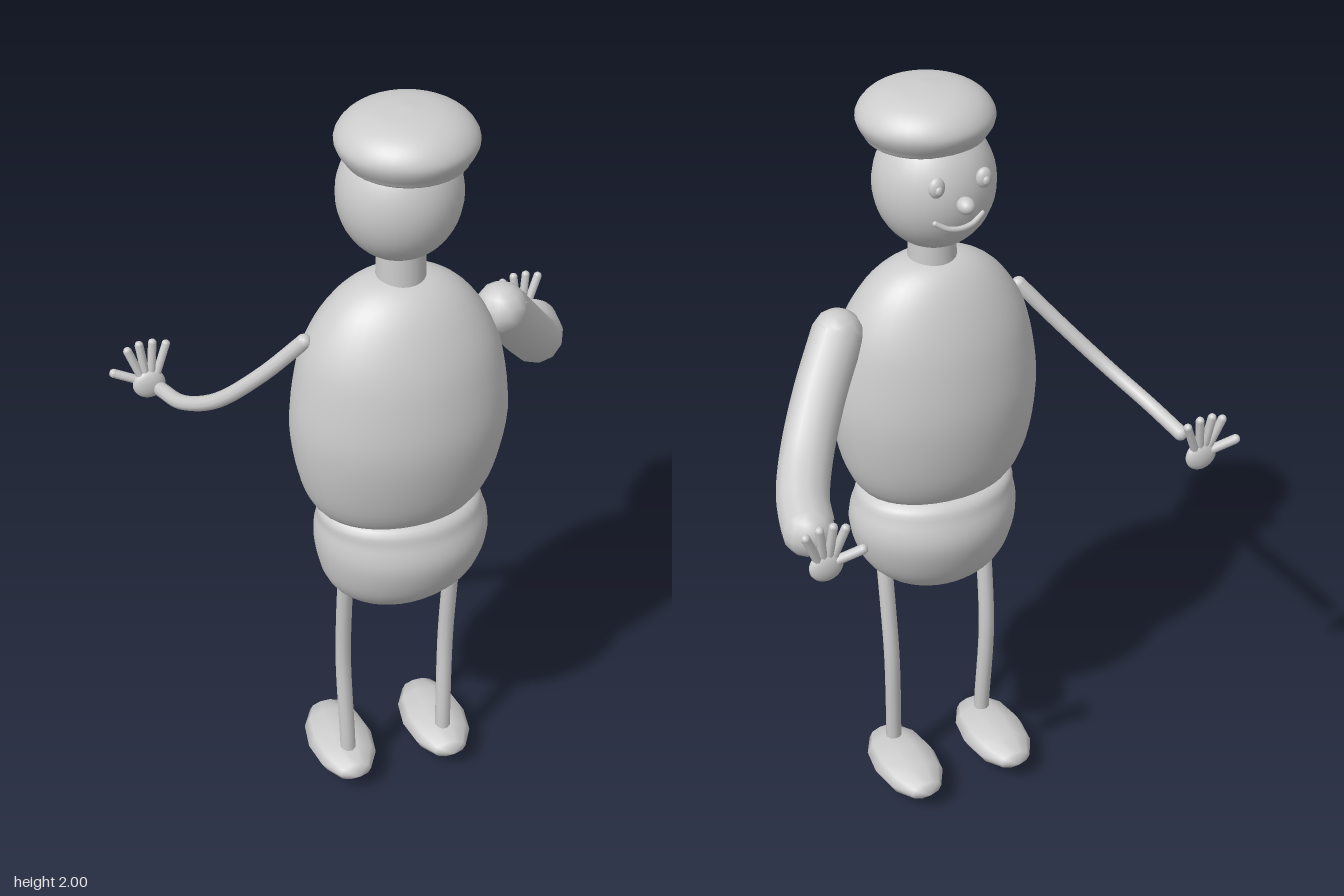
import * as THREE from 'three';
import { mergeVertices } from 'three/addons/utils/BufferGeometryUtils.js';

const clay = new THREE.MeshStandardMaterial({ color: 0xcccccc });
clay.name = 'light grey clay';

const vec = (p) => new THREE.Vector3(...p);

function addMesh(parent, name, geometry) {
  const mesh = new THREE.Mesh(geometry, clay);
  mesh.name = name;
  parent.add(mesh);
  return mesh;
}

function ellipsoid(parent, name, centre, radii, w = 24, h = 16) {
  const mesh = addMesh(parent, name, new THREE.SphereGeometry(1, w, h));
  mesh.position.set(...centre);
  mesh.scale.set(...radii);
  return mesh;
}

// Closed body through elliptical sections, bottom to top: [y, centreX, radiusX, centreZ, radiusZ]
function loft(parent, name, rows) {
  const uniform = (f) => new THREE.CatmullRomCurve3(rows.map(f), false, 'catmullrom');
  const size = uniform(([y, , rx, , rz]) => new THREE.Vector3(rx, y, rz));
  const centre = uniform(([, cx, , cz]) => new THREE.Vector3(cx, 0, cz));
  const geo = new THREE.CylinderGeometry(1, 1, 1, 36, 36, true);
  const pos = geo.attributes.position;
  for (let i = 0; i < pos.count; i++) {
    const t = THREE.MathUtils.clamp(pos.getY(i) + 0.5, 0, 1);
    const s = size.getPoint(t);
    const c = centre.getPoint(t);
    pos.setXYZ(i, c.x + pos.getX(i) * Math.max(s.x, 0), s.y, c.z + pos.getZ(i) * Math.max(s.z, 0));
  }
  geo.deleteAttribute('uv');
  geo.deleteAttribute('normal');
  const merged = mergeVertices(geo);
  merged.computeVertexNormals();
  return addMesh(parent, name, merged);
}

// Round tube along a path, with domed ends
function limb(parent, name, points, r, sides = 12) {
  const group = new THREE.Group();
  group.name = name;
  const curve = new THREE.CatmullRomCurve3(points.map(vec));
  const segments = points.length > 2 ? 24 : 1;
  addMesh(group, name + 'Tube', new THREE.TubeGeometry(curve, segments, r, sides));
  for (const p of [points[0], points.at(-1)]) ellipsoid(group, name + 'End', p, [r, r, r], sides, 8);
  parent.add(group);
  return group;
}

// Open hand: palm, four spread fingers and a thumb on the -x side
function hand(parent, name, x) {
  const group = new THREE.Group();
  group.name = name;
  ellipsoid(group, 'palm', [0, 1.09, -0.303], [0.042, 0.04, 0.02]);
  for (const [tip, y] of [[-0.046, 1.188], [-0.016, 1.2], [0.018, 1.2], [0.052, 1.19]]) {
    limb(group, 'finger', [[tip * 0.3, 1.1, -0.303], [tip, y, -0.316]], 0.011, 8);
  }
  limb(group, 'thumb', [[-0.02, 1.1, -0.308], [-0.083, 1.124, -0.325]], 0.012, 8);
  group.position.x = x;
  parent.add(group);
}

export function createModel() {
  const model = new THREE.Group();
  model.name = 'figure';

  // Body
  loft(model, 'torso', [
    [0.89, 0.02, 0, 0.13, 0], [0.91, 0.02, 0.13, 0.13, 0.1], [0.94, 0.018, 0.2, 0.133, 0.143],
    [1.03, 0.019, 0.245, 0.134, 0.18], [1.18, 0.02, 0.268, 0.137, 0.203], [1.32, 0.02, 0.254, 0.136, 0.19],
    [1.42, 0.02, 0.225, 0.134, 0.163], [1.51, 0.021, 0.165, 0.13, 0.118], [1.56, 0.022, 0.09, 0.125, 0.065],
    [1.573, 0.022, 0, 0.125, 0],
  ]);
  loft(model, 'hips', [
    [0.632, 0.02, 0, 0.125, 0], [0.642, 0.02, 0.09, 0.125, 0.07], [0.67, 0.02, 0.15, 0.126, 0.115],
    [0.73, 0.026, 0.197, 0.13, 0.158], [0.82, 0.03, 0.22, 0.13, 0.185], [0.89, 0.027, 0.212, 0.13, 0.173],
    [0.94, 0.02, 0.18, 0.133, 0.142], [0.96, 0.02, 0, 0.133, 0],
  ]);
  addMesh(model, 'neck', new THREE.CylinderGeometry(0.057, 0.06, 0.12, 24)).position.set(0.025, 1.595, 0.127);

  // Head, with the face toward -z
  ellipsoid(model, 'head', [0.027, 1.77, 0.108], [0.147, 0.163, 0.143], 32, 24);
  loft(model, 'cap', [
    [1.865, 0.033, 0, 0.145, 0], [1.867, 0.033, 0.12, 0.145, 0.12], [1.885, 0.031, 0.147, 0.143, 0.147],
    [1.925, 0.031, 0.163, 0.142, 0.163], [1.965, 0.031, 0.138, 0.142, 0.138], [1.99, 0.031, 0.085, 0.142, 0.085],
    [2.0, 0.031, 0, 0.142, 0],
  ]);
  ellipsoid(model, 'nose', [0.027, 1.775, -0.055], [0.021, 0.02, 0.025]);
  for (const side of [-1, 1]) {
    ellipsoid(model, 'eye', [0.025 + side * 0.06, 1.818, -0.023], [0.02, 0.025, 0.014]);
    ellipsoid(model, 'pupil', [0.025 + side * 0.06, 1.815, -0.036], [0.009, 0.011, 0.006], 12, 8);
  }
  limb(model, 'mouth', [[-0.033, 1.726, -0.018], [-0.005, 1.71, -0.026], [0.027, 1.705, -0.029],
    [0.059, 1.71, -0.026], [0.087, 1.726, -0.018]], 0.007, 8);

  // One thick arm and one thin arm
  limb(model, 'thickArm', [[0.28, 1.415, 0.12], [0.36, 1.305, 0.055], [0.435, 1.203, -0.03],
    [0.485, 1.15, -0.12], [0.507, 1.125, -0.2]], 0.064, 12);
  limb(model, 'thinArm', [[-0.21, 1.425, 0.125], [-0.3, 1.315, 0.07], [-0.39, 1.21, -0.01],
    [-0.45, 1.145, -0.12], [-0.475, 1.115, -0.23]], 0.019, 10);
  hand(model, 'rightHand', -0.49);
  hand(model, 'leftHand', 0.51);

  // Legs run through the pointed, faceted feet and show as a stub below
  for (const [name, x, bend] of [['right', -0.112, -0.006], ['left', 0.157, 0.01]]) {
    limb(model, name + 'Leg', [[x + bend, 0.7, 0.138], [x + bend, 0.58, 0.122], [x + bend * 0.8, 0.4, 0.108],
      [x, 0.12, 0.126], [x, 0.021, 0.13]], 0.021, 10);
    const shoe = new THREE.SphereGeometry(1, 10, 6).rotateX(Math.PI / 2);
    const foot = addMesh(model, name + 'Foot', shoe);
    foot.position.set(x, 0.073, 0.057);
    foot.scale.set(0.088, 0.05, 0.153);
  }

  return model;
}
